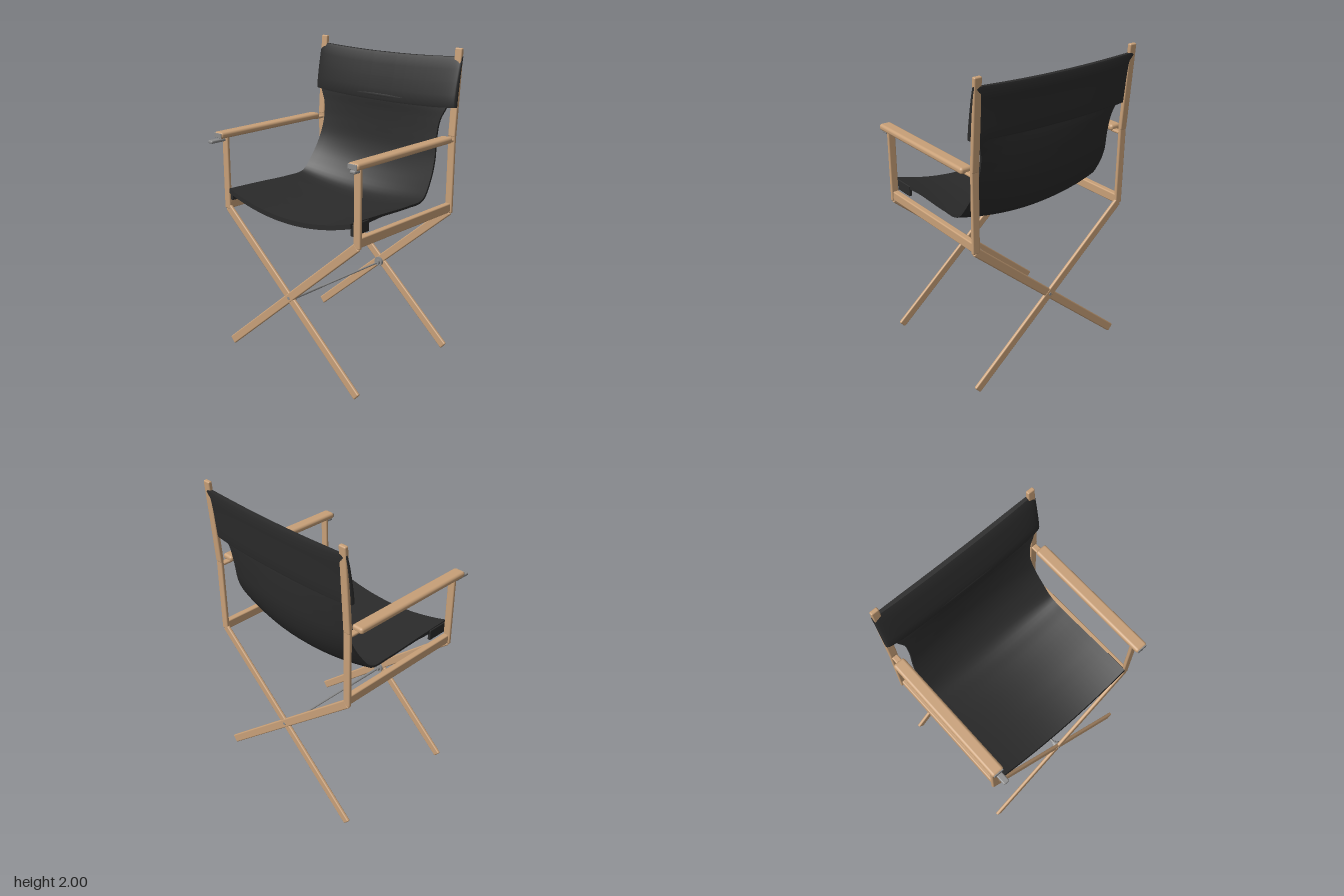
import * as THREE from 'three';
import { toCreasedNormals } from 'three/addons/utils/BufferGeometryUtils.js';
import { RoundedBoxGeometry } from 'three/addons/geometries/RoundedBoxGeometry.js';

const material = (name, color, side = THREE.FrontSide) => {
  const m = new THREE.MeshStandardMaterial({ color, side });
  m.name = name;
  return m;
};

// Skin a list of closed rings (mirror-paired points j and n-1-j) and cap both ends
function loft(rings, crease = 0.9) {
  const n = rings[0].length, last = (rings.length - 1) * n, idx = [];
  const quad = (a, b, c, d) => idx.push(a, b, c, a, c, d);
  for (let i = 0; i < rings.length - 1; i++) {
    for (let j = 0; j < n; j++) {
      const k = (j + 1) % n;
      quad(i * n + j, i * n + k, (i + 1) * n + k, (i + 1) * n + j);
    }
  }
  for (let j = 0; j < n / 2 - 1; j++) {
    quad(j, n - 1 - j, n - 2 - j, j + 1);
    quad(last + j, last + j + 1, last + n - 2 - j, last + n - 1 - j);
  }
  const g = new THREE.BufferGeometry().setFromPoints(rings.flat());
  g.setIndex(idx);
  return toCreasedNormals(g, crease);
}

// Seat and back in one hanging sheet, sagging between its two side edges
function slingGeometry() {
  // half width, y, z, sag, thickness
  const stations = [
    [0.515, 1.11, 0.43, 0.085, 0.03],
    [0.515, 1.105, 0.28, 0.083, 0.028],
    [0.515, 1.10, 0.15, 0.08, 0.016],
    [0.515, 1.09, -0.10, 0.07, 0.014],
    [0.515, 1.10, -0.24, 0.065, 0.014],
    [0.505, 1.20, -0.325, 0.055, 0.014],
    [0.49, 1.32, -0.385, 0.035, 0.014],
    [0.475, 1.45, -0.415, 0.02, 0.014],
    [0.485, 1.56, -0.43, 0.01, 0.014],
    [0.52, 1.64, -0.44, 0, 0.014],
    [0.53, 1.70, -0.455, 0, 0.014],
  ];
  const edge = new THREE.CatmullRomCurve3(stations.map(s => new THREE.Vector3(s[0], s[1], s[2])));
  const shape = new THREE.CatmullRomCurve3(stations.map(s => new THREE.Vector3(s[3], s[4], 0)));
  const rings = [], steps = 60, across = 24;
  for (let i = 0; i <= steps; i++) {
    const t = i / steps, p = edge.getPoint(t), s = shape.getPoint(t), d = edge.getTangent(t);
    const len = Math.hypot(d.y, d.z), ny = d.z / len, nz = -d.y / len;
    const top = [], bottom = [];
    for (let j = 0; j <= across; j++) {
      const u = -1 + 2 * j / across, off = s.x * (1 - u * u);
      top.push(new THREE.Vector3(u * p.x, p.y + ny * off, p.z + nz * off));
      bottom.unshift(new THREE.Vector3(u * p.x, p.y + ny * (off + s.y), p.z + nz * (off + s.y)));
    }
    rings.push([...top, ...bottom]);
  }
  return loft(rings);
}

// Sleeve of cloth looped round both rear posts, deeper at its lower edge
function bandGeometry() {
  // y, middle z, half depth
  const levels = [
    [1.645, -0.468, 0.035], [1.655, -0.468, 0.038], [1.72, -0.475, 0.037],
    [1.80, -0.486, 0.031], [1.88, -0.499, 0.025], [1.935, -0.511, 0.02], [1.95, -0.514, 0.014],
  ];
  const power = (v, e) => Math.sign(v) * Math.abs(v) ** e;
  const n = 64;
  return loft(levels.map(([y, z, depth]) => Array.from({ length: n }, (_, j) => {
    const a = 2 * Math.PI * (j + 0.5) / n, u = power(Math.cos(a), 0.6);
    return new THREE.Vector3(0.58 * u, y - 0.02 * (1 - u * u), z - depth * power(Math.sin(a), 0.5));
  })));
}

export function createModel() {
  const wood = material('wood', 0xc8a078);
  const cloth = material('black cloth', 0x2b2b2b, THREE.DoubleSide);
  const metal = material('grey metal', 0x8c8c8c);
  const model = new THREE.Group();
  model.name = 'foldingChair';

  const add = (name, geometry, mat, x = 0, y = 0, z = 0) => {
    const mesh = new THREE.Mesh(geometry, mat);
    mesh.name = name;
    mesh.position.set(x, y, z);
    model.add(mesh);
    return mesh;
  };
  const box = (name, mat, w, h, d, x, y, z, r = 0.008) =>
    add(name, new RoundedBoxGeometry(w, h, d, 3, r), mat, x, y, z);
  // Flat bar from point a to point b
  const bar = (name, a, b, w, d) => {
    const from = new THREE.Vector3(...a), dir = new THREE.Vector3(...b).sub(from);
    const mesh = box(name, wood, w, dir.length(), d, 0, 0, 0);
    mesh.position.copy(from).addScaledVector(dir, 0.5);
    mesh.quaternion.setFromUnitVectors(new THREE.Vector3(0, 1, 0), dir.normalize());
  };
  const rod = (name, r, length, y, z) =>
    add(name, new THREE.CylinderGeometry(r, r, length, 20).rotateX(Math.PI / 2), metal, 0, y, z);

  const frontZ = 0.41, rearZ = -0.478;

  for (const s of [1, -1]) {
    const side = s > 0 ? 'left' : 'right';
    // Posts, rail and armrest of one side
    bar(side + 'FrontPost', [s * 0.552, 0.965, frontZ], [s * 0.552, 1.445, frontZ], 0.05, 0.022);
    bar(side + 'RearPost', [s * 0.552, 0.965, rearZ], [s * 0.552, 1.48, rearZ], 0.05, 0.022);
    bar(side + 'RearPostTop', [s * 0.552, 1.46, rearZ], [s * 0.552, 2.0, -0.514], 0.05, 0.026);
    box(side + 'SeatRail', wood, 0.04, 0.06, frontZ - rearZ, s * 0.547, 1.0, (frontZ + rearZ) / 2);
    box(side + 'Armrest', wood, 0.08, 0.04, 0.89, s * 0.56, 1.455, 0.025, 0.017);
    box(side + 'ArmPivot', wood, 0.04, 0.018, 0.08, s * 0.552, 1.438, -0.435);

    // Metal end plate and latch at the front of the armrest
    box(side + 'ArmEndPlate', metal, 0.066, 0.03, 0.006, s * 0.56, 1.455, 0.469, 0.002);
    const latch = s > 0 ? 0.05 : 0.115;
    box(side + 'ArmLatch', metal, 0.04, 0.02, latch, s * 0.558, 1.424, 0.42 + latch / 2);

    // Cloth tab under the front corner of the seat
    box(side + 'SeatTab', cloth, 0.02, 0.07, 0.14, s * 0.512, 1.065, 0.345, 0.004);

    // One leg of the front cross and one of the rear cross
    for (const [end, z] of [['Front', frontZ], ['Rear', rearZ]]) {
      bar(side + end + 'Leg', [-s * 0.557, 0.02, z + s * 0.001], [s * 0.552, 0.977, z + s * 0.001], 0.055, 0.021);
    }
  }

  // Metal stretcher and pivots joining the two crosses
  rod('stretcherRod', 0.006, frontZ - rearZ, 0.482, (frontZ + rearZ) / 2);
  rod('stretcherSleeve', 0.009, 0.26, 0.484, 0.25);
  for (const [end, z, inward] of [['front', frontZ, -1], ['rear', rearZ, 1]]) {
    rod(end + 'Pivot', 0.032, 0.014, 0.488, z + inward * 0.017);
    rod(end + 'PivotCollar', 0.018, 0.03, 0.485, z + inward * 0.027);
    rod(end + 'Rivet', 0.01, 0.004, 0.4985, z - inward * 0.012);
  }

  add('seatSling', slingGeometry(), cloth);
  add('backBand', bandGeometry(), cloth);
  return model;
}
